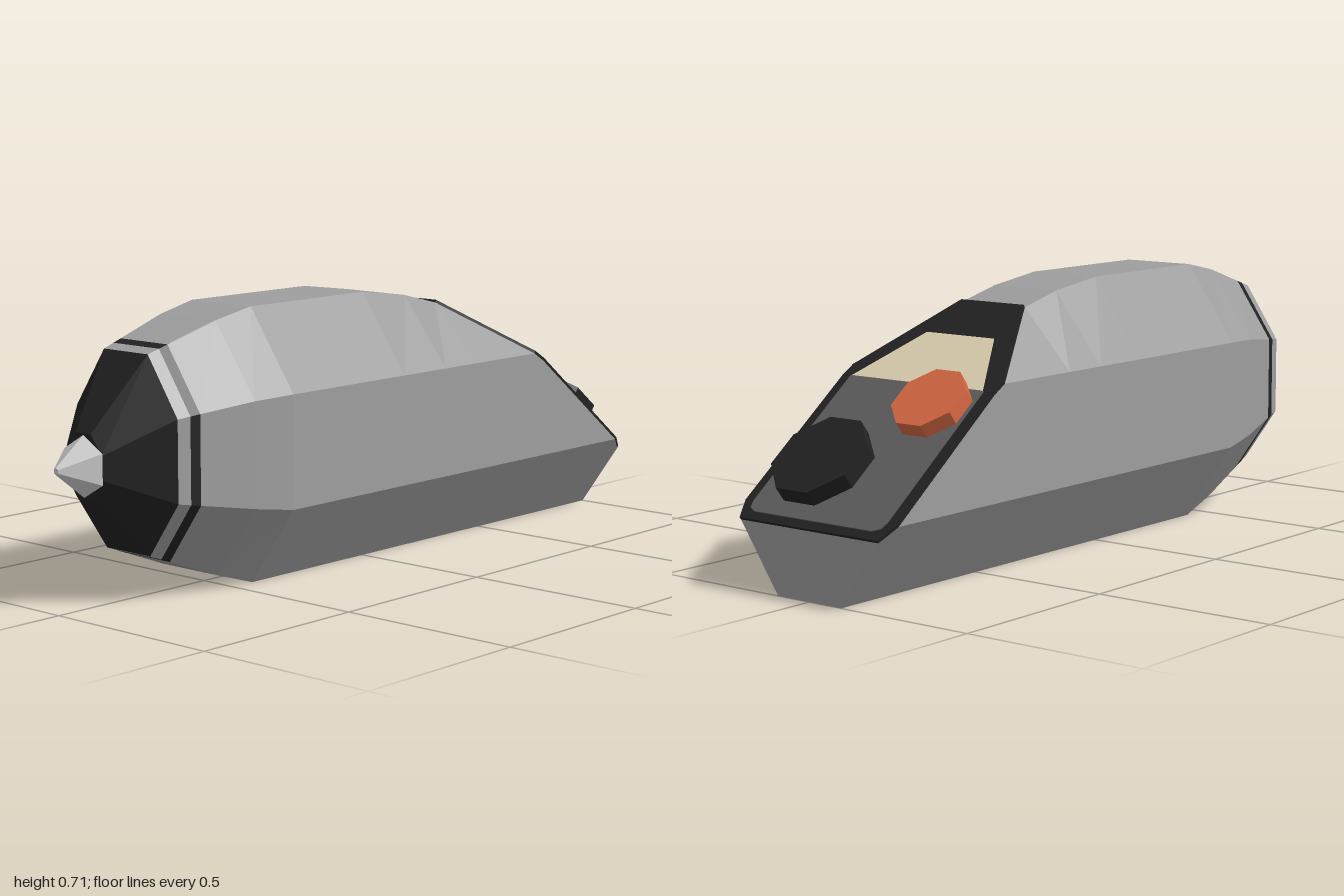
import * as THREE from 'three';

const paint = (name, color) => {
  const m = new THREE.MeshStandardMaterial({ color });
  m.name = name;
  return m;
};

export function createModel() {
  const model = new THREE.Group();
  model.name = 'handheldTrimmer';
  const grey = paint('bodyGrey', 0x9e9e9e);
  const black = paint('black', 0x222222);
  const panelGrey = paint('panelGrey', 0x5e5e5e);
  const cream = paint('cream', 0xdccfae);
  const orange = paint('orange', 0xd66842);
  const silver = paint('silver', 0xcfcfcf);

  function add(name, geometry, material, parent = model) {
    const flat = geometry.index ? geometry.toNonIndexed() : geometry;
    flat.computeVertexNormals();
    const mesh = new THREE.Mesh(flat, material);
    mesh.name = name;
    parent.add(mesh);
    return mesh;
  }

  // Eight-sided section: z, bottom y, lower y, upper y, top y, top half width, side half width, bottom half width
  const ringPoints = ([z, bottom, lower, upper, top, tx, w, bx]) =>
    [[bx, bottom], [w, lower], [w, upper], [tx, top], [-tx, top], [-w, upper], [-w, lower], [-bx, bottom]]
      .map(([x, y]) => new THREE.Vector3(x, y, z));

  const mix = (a, b, z) => {
    const t = (z - a[0]) / (b[0] - a[0]);
    return a.map((v, i) => v + (b[i] - v) * t);
  };

  // Closed skin through sections ordered front to back
  function loft(sections) {
    const rings = sections.map(ringPoints);
    const out = [];
    const tri = (a, b, c) => {
      if (new THREE.Triangle(a, b, c).getArea() > 1e-7) out.push(...a, ...b, ...c);
    };
    for (let r = 0; r < rings.length - 1; r++) {
      const a = rings[r], b = rings[r + 1];
      for (let i = 0; i < 8; i++) {
        const j = (i + 1) % 8;
        tri(a[i], b[i], b[j]);
        tri(a[i], b[j], a[j]);
      }
    }
    const first = rings[0], last = rings[rings.length - 1];
    for (let i = 1; i < 7; i++) {
      tri(first[0], first[i], first[i + 1]);
      tri(last[0], last[i + 1], last[i]);
    }
    const g = new THREE.BufferGeometry();
    g.setAttribute('position', new THREE.Float32BufferAttribute(out, 3));
    return g;
  }

  // Body sections
  const noseTip = [0.91, 0.28, 0.33, 0.39, 0.44, 0.027, 0.065, 0.027];
  const noseBase = [0.765, 0.12, 0.265, 0.475, 0.625, 0.078, 0.18, 0.078];
  const shoulder = [0.55, 0.038, 0.228, 0.5, 0.69, 0.098, 0.234, 0.098];
  const bandFront = mix(noseBase, shoulder, 0.73);
  const bandBack = mix(noseBase, shoulder, 0.703);

  add('nose', loft([noseTip, noseBase]), black);
  add('collar', loft([noseBase, bandFront]), grey);
  add('band', loft([bandFront, bandBack]), black);
  add('body', loft([
    bandBack,
    shoulder,
    [0.43, 0, 0.21, 0.505, 0.715, 0.105, 0.252, 0.105],
    [0.0, 0, 0.21, 0.505, 0.715, 0.105, 0.252, 0.105],
    [-0.17, 0, 0.21, 0.505, 0.692, 0.105, 0.252, 0.105],
    [-0.3, 0, 0.21, 0.505, 0.66, 0.105, 0.252, 0.105],
    [-0.56, 0, 0.21, 0.505, 0.505, 0.252, 0.252, 0.105],
    [-0.6, 0, 0.21, 0.481, 0.481, 0.252, 0.252, 0.105],
    [-0.955, 0, 0.21, 0.21, 0.21, 0.252, 0.252, 0.105],
    [-1, 0, 0.175, 0.175, 0.175, 0.228, 0.228, 0.105],
  ]), grey);

  // Pointed tip
  const tip = new THREE.CylinderGeometry(0.009, 0.078, 0.09, 6);
  tip.rotateX(Math.PI / 2).rotateZ(Math.PI).translate(0, 0.357, 0.955);
  add('tip', tip, silver);

  // Sloping control faces: local y runs up the slope, local z points away from the body
  function slope(name, z0, y0, z1, y1) {
    const up = new THREE.Vector3(0, y0 - y1, z0 - z1).normalize();
    const normal = new THREE.Vector3(0, up.z, -up.y);
    const group = new THREE.Group();
    group.name = name;
    group.applyMatrix4(new THREE.Matrix4()
      .makeBasis(new THREE.Vector3(-1, 0, 0), up, normal).setPosition(0, y0, z0));
    group.along = (z) => (z - z0) / up.z;
    model.add(group);
    return group;
  }

  // Thin symmetric plate from half outline points (x, z) listed front to back
  function plate(name, group, half, offset, depth, material) {
    const pts = half.map(([x, z]) => new THREE.Vector2(x, group.along(z)));
    const mirrored = pts.map((p) => new THREE.Vector2(-p.x, p.y)).reverse();
    const g = new THREE.ExtrudeGeometry(new THREE.Shape([...pts, ...mirrored]), { depth, bevelEnabled: false });
    add(name, g.translate(0, 0, offset), material, group);
  }

  // Octagonal button standing on a slope
  function button(name, group, x, z, radius, height, material) {
    const g = new THREE.CylinderGeometry(radius, radius, height, 8);
    g.rotateY(Math.PI / 8).rotateX(Math.PI / 2);
    add(name, g, material, group).position.set(-x, group.along(z), 0.015 + height / 2);
  }

  const upper = slope('upperSlope', -0.3, 0.66, -0.6, 0.481);
  plate('windowFrame', upper, [[0.105, -0.3], [0.252, -0.56], [0.252, -0.6]], 0, 0.008, black);
  plate('window', upper, [[0.112, -0.428], [0.218, -0.6]], 0.006, 0.005, cream);

  const lower = slope('lowerSlope', -0.6, 0.481, -1, 0.175);
  plate('panelFrame', lower, [[0.252, -0.6], [0.252, -0.955], [0.228, -1]], 0, 0.008, black);
  plate('panel', lower, [[0.222, -0.6], [0.222, -0.955], [0.215, -0.973], [0.195, -0.981]], 0.006, 0.005, panelGrey);
  button('largeButton', lower, 0.072, -0.848, 0.134, 0.045, black);
  button('smallButton', lower, -0.122, -0.664, 0.103, 0.04, orange);

  return model;
}
